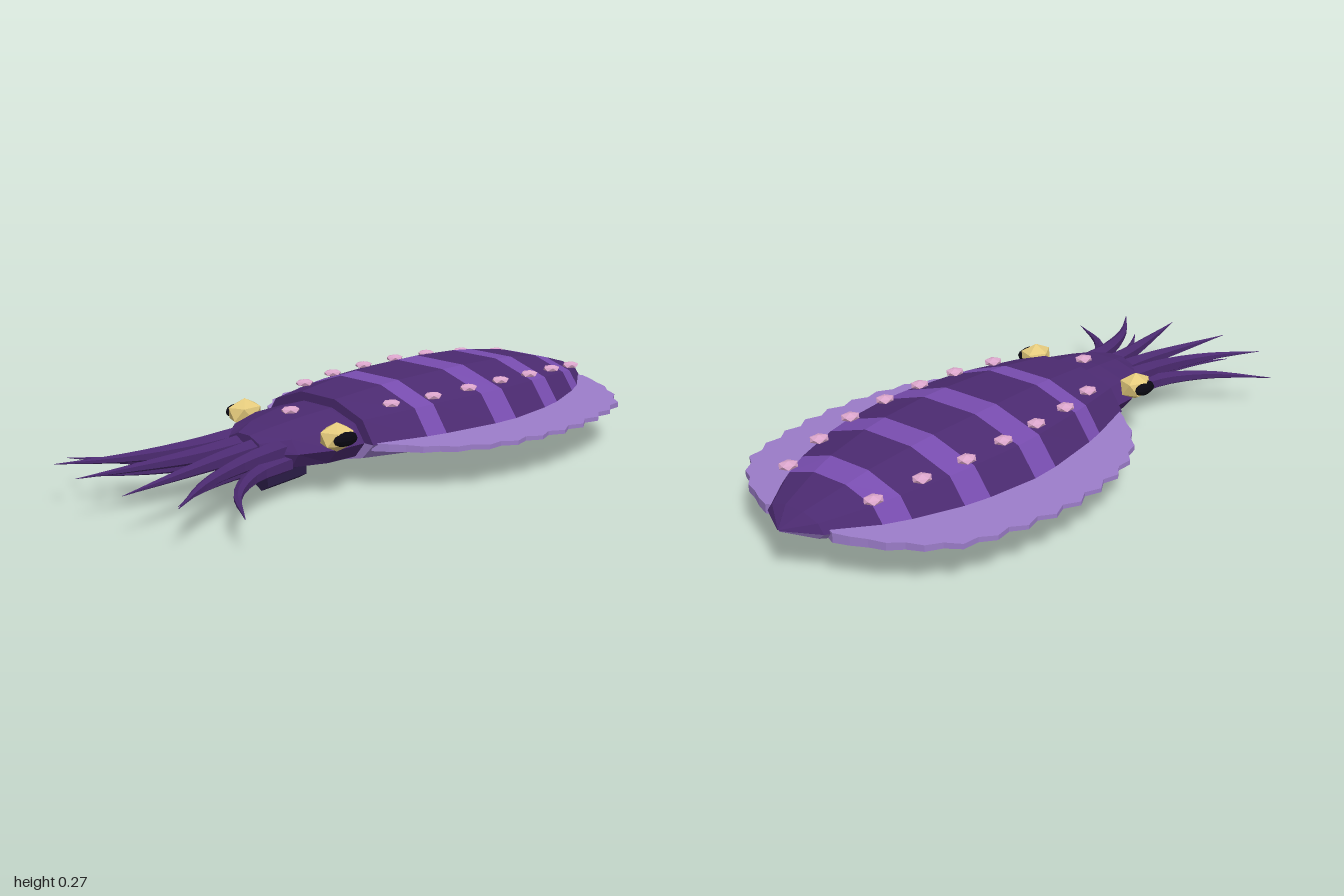
import * as THREE from 'three';

const mat = (name, color) => {
  const m = new THREE.MeshStandardMaterial({ color });
  m.name = name;
  return m;
};

// faceted look: split the faces and give each its own normal
function faceted(geo) {
  const g = geo.index ? geo.toNonIndexed() : geo;
  g.computeVertexNormals();
  return g;
}

// icosahedron standing on one corner
const cornerBall = r => faceted(new THREE.IcosahedronGeometry(r, 0).rotateZ(0.5536));

// ten-sided body lofted along z; ring = [z, halfWidth, upperHeight, lowerHeight]
const AXIS_Y = 0.14;
function ringPoint([z, w, up, low], j) {
  const a = j * Math.PI / 5, s = Math.sin(a);
  return [w * Math.cos(a), AXIS_Y + s * (s > 0 ? up : low), z];
}
function loft(rings, from, to) {
  const pos = [];
  for (let i = 0; i < rings.length - 1; i++) {
    for (let j = from; j < to; j++) {
      const a = ringPoint(rings[i], j), b = ringPoint(rings[i], j + 1);
      const c = ringPoint(rings[i + 1], j + 1), d = ringPoint(rings[i + 1], j);
      pos.push(...a, ...b, ...c, ...a, ...c, ...d);
    }
  }
  const g = new THREE.BufferGeometry();
  g.setAttribute('position', new THREE.Float32BufferAttribute(pos, 3));
  return faceted(g);
}

// tube that narrows to a point
function taperedTube(points, radius) {
  const n = 9, sides = 6;
  const curve = new THREE.CatmullRomCurve3(points.map(p => new THREE.Vector3(...p)));
  const g = new THREE.TubeGeometry(curve, n, radius, sides, false);
  const p = g.attributes.position, v = new THREE.Vector3();
  for (let i = 0; i <= n; i++) {
    const c = curve.getPointAt(i / n), k = Math.max(0.02, 1 - (i / n) ** 1.25);
    for (let j = 0; j <= sides; j++) {
      const id = i * (sides + 1) + j;
      v.fromBufferAttribute(p, id).sub(c).multiplyScalar(k).add(c);
      p.setXYZ(id, v.x, v.y, v.z);
    }
  }
  return faceted(g);
}

export function createModel() {
  const root = new THREE.Group();
  root.name = 'cuttlefish';
  const skin = mat('dark purple skin', 0x4b2a70);
  const band = mat('light purple band', 0x774cae);
  const pale = mat('lilac fin and belly', 0x9b7cc8);
  const gold = mat('gold eye', 0xe4ca7c);
  const black = mat('black pupil', 0x0a0812);
  const pink = mat('pink spot', 0xdca6cc);
  const funnelMat = mat('deep purple funnel', 0x2a1c46);

  const add = (name, geo, material, x = 0, y = 0, z = 0) => {
    const m = new THREE.Mesh(geo, material);
    m.name = name;
    m.position.set(x, y, z);
    root.add(m);
    return m;
  };

  // mantle: [z, half width, upper height]
  const mantle = [
    [-1, 0.003, 0.003], [-0.94, 0.11, 0.045], [-0.81, 0.2, 0.085], [-0.735, 0.235, 0.105],
    [-0.585, 0.287, 0.127], [-0.5, 0.305, 0.135], [-0.33, 0.325, 0.142], [-0.235, 0.322, 0.142],
    [-0.04, 0.297, 0.138], [0.03, 0.283, 0.133], [0.21, 0.235, 0.115], [0.21, 0.001, 0.001],
  ].map(([z, w, h]) => [z, w, h, h * 0.7]);
  for (let i = 0; i < mantle.length - 1; i++) {
    const light = i >= 2 && i <= 8 && i % 2 === 0;
    add(light ? 'mantleBand' : 'mantleBack', loft(mantle.slice(i, i + 2), 0, 5), light ? band : skin);
  }
  add('mantleBelly', loft(mantle, 5, 10), pale);

  // head
  add('head', loft([
    [0.12, 0.19, 0.085, 0.08], [0.22, 0.2, 0.087, 0.08], [0.32, 0.198, 0.082, 0.078],
    [0.43, 0.155, 0.066, 0.074], [0.5, 0.08, 0.047, 0.06], [0.5, 0.001, 0.001, 0.001],
  ], 0, 10), skin);

  // fins: scalloped plates, flat below and thinning outwards
  const edge = new THREE.SplineCurve([
    [0.13, -0.93], [0.27, -0.865], [0.4, -0.75], [0.45, -0.62], [0.483, -0.45],
    [0.488, -0.3], [0.465, -0.12], [0.42, 0], [0.34, 0.11], [0.225, 0.205],
  ].map(p => new THREE.Vector2(...p)));
  for (const s of [1, -1]) {
    const shape = new THREE.Shape();
    shape.moveTo(s * 0.05, -0.9);
    const n = 28;
    for (let i = 0; i <= n; i++) {
      const p = edge.getPointAt(i / n), t = edge.getTangentAt(i / n);
      const k = (i % 2 ? 0.012 : -0.012) * Math.sin(Math.PI * i / n);
      shape.lineTo(s * (p.x + t.y * k), p.y - t.x * k);
    }
    shape.lineTo(s * 0.1, 0.18);
    const g = new THREE.ExtrudeGeometry(shape, { depth: 0.012, bevelEnabled: false });
    g.rotateX(Math.PI / 2);
    const p = g.attributes.position;
    for (let i = 0; i < p.count; i++) {
      p.setY(i, p.getY(i) < -0.006 ? 0.12 : 0.155 - 0.046 * Math.abs(p.getX(i)));
    }
    add(s > 0 ? 'leftFin' : 'rightFin', faceted(g), pale);
  }

  for (const s of [1, -1]) {
    const side = s > 0 ? 'left' : 'right';

    // eyes with flattened dark pupils
    const eye = add(side + 'Eye', cornerBall(0.058), gold, s * 0.203, 0.182, 0.325);
    eye.scale.set(0.85, 0.75, 1.05);
    const pupil = add(side + 'Pupil', faceted(new THREE.SphereGeometry(1, 8, 6)), black, s * 0.238, 0.182, 0.325);
    pupil.scale.set(0.022, 0.021, 0.046);

    // arms: two upper and two lower on each side
    const arms = [
      [[0.03, 0.145, 0.44], [0.04, 0.14, 0.62], [0.075, 0.137, 0.83], [0.107, 0.135, 1]],
      [[0.095, 0.145, 0.44], [0.115, 0.14, 0.6], [0.18, 0.135, 0.79], [0.283, 0.13, 0.955]],
      [[0.06, 0.105, 0.44], [0.075, 0.105, 0.6], [0.125, 0.102, 0.76], [0.195, 0.1, 0.89]],
      [[0.11, 0.11, 0.44], [0.14, 0.108, 0.58], [0.235, 0.104, 0.72], [0.402, 0.1, 0.835]],
    ];
    arms.forEach((a, i) => add(side + 'Arm' + (i + 1),
      taperedTube(a.map(([x, y, z]) => [s * x, y, z]), i < 2 ? 0.034 : 0.03), skin));
  }

  // raised spots along the back and one on the head
  const spotGeo = cornerBall(0.031);
  const spots = [[0.165, 0.21, -0.81], [0.2, 0.227, -0.66], [0.227, 0.237, -0.51], [0.232, 0.242, -0.36],
    [0.23, 0.242, -0.21], [0.22, 0.24, -0.06], [0.19, 0.237, 0.09]];
  const addSpot = (x, y, z) => {
    const m = add('spot', spotGeo, pink, x, y, z);
    m.scale.set(0.9, 0.38, 1.05);
  };
  for (const [x, y, z] of spots) { addSpot(x, y, z); addSpot(-x, y, z); }
  addSpot(0, 0.224, 0.32);

  // six-sided funnel under the head, dipping forward
  const funnel = faceted(new THREE.CylinderGeometry(0.035, 0.035, 0.153, 6));
  funnel.rotateX(Math.PI / 2 + 0.07);
  add('funnel', funnel, funnelMat, 0, 0.0405, 0.363);

  return root;
}
